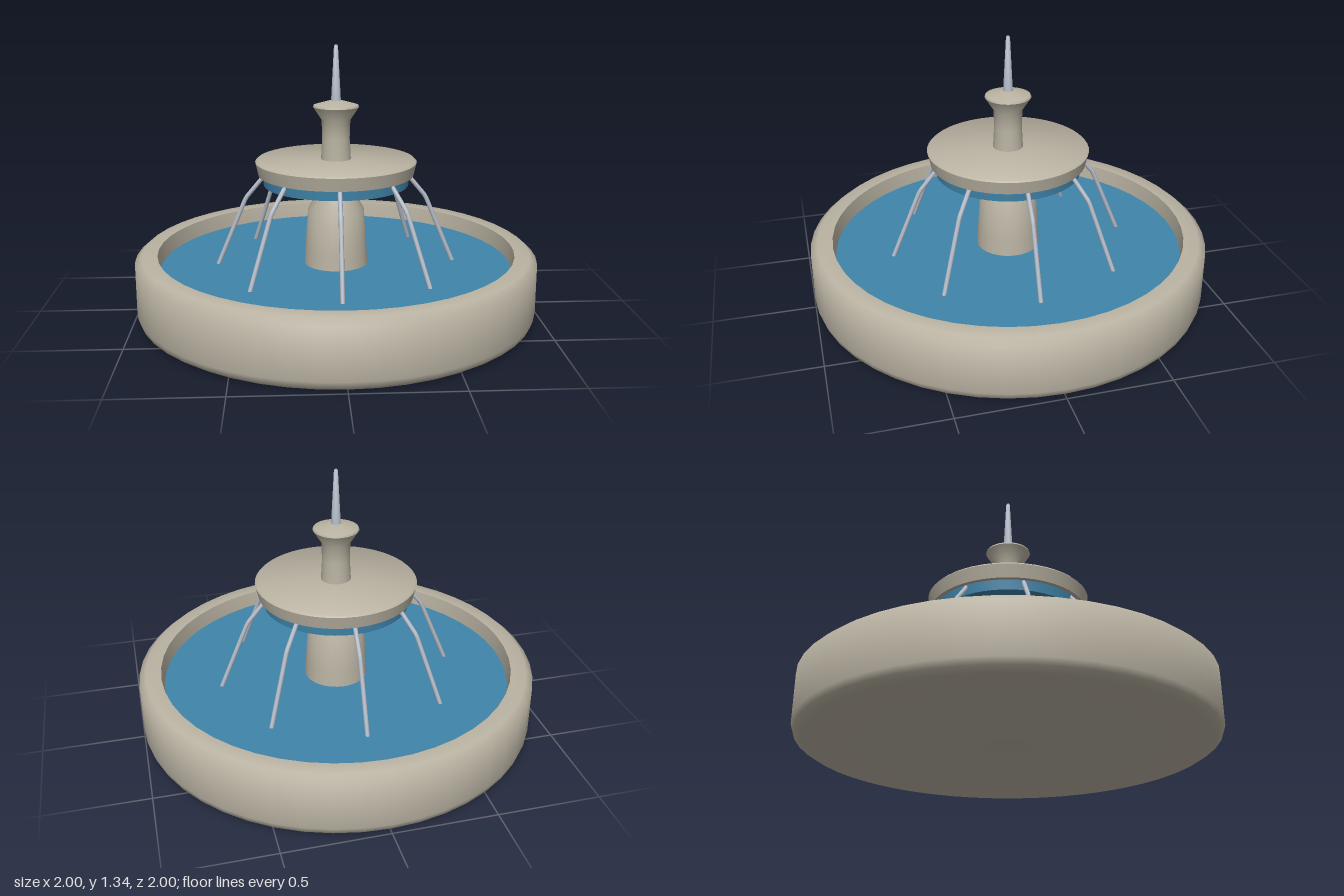
import * as THREE from 'three';
import { toCreasedNormals } from 'three/addons/utils/BufferGeometryUtils.js';

const stone = new THREE.MeshStandardMaterial({ name: 'stone', color: 0xbab3a3 });
const water = new THREE.MeshStandardMaterial({ name: 'water', color: 0x4084aa });
const spray = new THREE.MeshStandardMaterial({ name: 'spray', color: 0xb4bcc8 });

// Turned part from a profile of [radius, height] points, listed bottom to top on the outside
function turned(name, profile, material, segments = 48) {
  const points = profile.map(([r, y]) => new THREE.Vector2(r, y));
  const geometry = toCreasedNormals(new THREE.LatheGeometry(points, segments), 0.87);
  const mesh = new THREE.Mesh(geometry, material);
  mesh.name = name;
  return mesh;
}

export function createModel() {
  const group = new THREE.Group();
  group.name = 'fountain';

  // Basin wall with softened edges, and the pool inside it
  group.add(turned('basin', [
    [0, 0], [0.96, 0], [0.99, 0.02], [1, 0.05], [1, 0.29], [0.965, 0.32],
    [0.89, 0.32], [0.875, 0.2], [0.87, 0.04], [0, 0.04],
  ], stone));
  group.add(turned('poolWater', [[0, 0.06], [0.87, 0.06], [0.878, 0.24], [0, 0.24]], water));

  // Pedestal, upper dish and the water ring beneath it
  group.add(turned('pedestal', [[0.165, 0.1], [0.155, 0.32], [0.14, 0.52], [0.065, 0.66], [0, 0.66]], stone, 32));
  group.add(turned('dishWater', [[0, 0.65], [0.36, 0.65], [0.365, 0.71], [0, 0.71]], water));
  group.add(turned('upperDish', [
    [0, 0.7], [0.385, 0.7], [0.4, 0.765], [0.39, 0.775], [0, 0.775],
  ], stone));

  // Flared finial and the central water spout
  group.add(turned('finial', [
    [0.075, 0.76], [0.068, 0.88], [0.071, 0.97], [0.113, 1.035], [0.11, 1.043], [0.03, 1.066], [0, 1.066],
  ], stone, 32));
  group.add(turned('spout', [[0.025, 1.05], [0.01, 1.33], [0.006, 1.337], [0, 1.337]], spray, 12));

  // Eight bent jets falling from the dish into the pool
  const path = new THREE.CurvePath();
  const bends = [[0.34, 0.712], [0.45, 0.58], [0.595, 0.235]]
    .map(([r, y]) => new THREE.Vector3(r, y, 0));
  for (let i = 0; i < 2; i++) path.add(new THREE.LineCurve3(bends[i], bends[i + 1]));
  const jetGeometry = new THREE.TubeGeometry(path, 24, 0.011, 8);
  for (let i = 0; i < 8; i++) {
    const jet = new THREE.Mesh(jetGeometry, spray);
    jet.name = 'waterJet' + (i + 1);
    jet.rotation.y = i * Math.PI / 4;
    group.add(jet);
  }
  return group;
}
